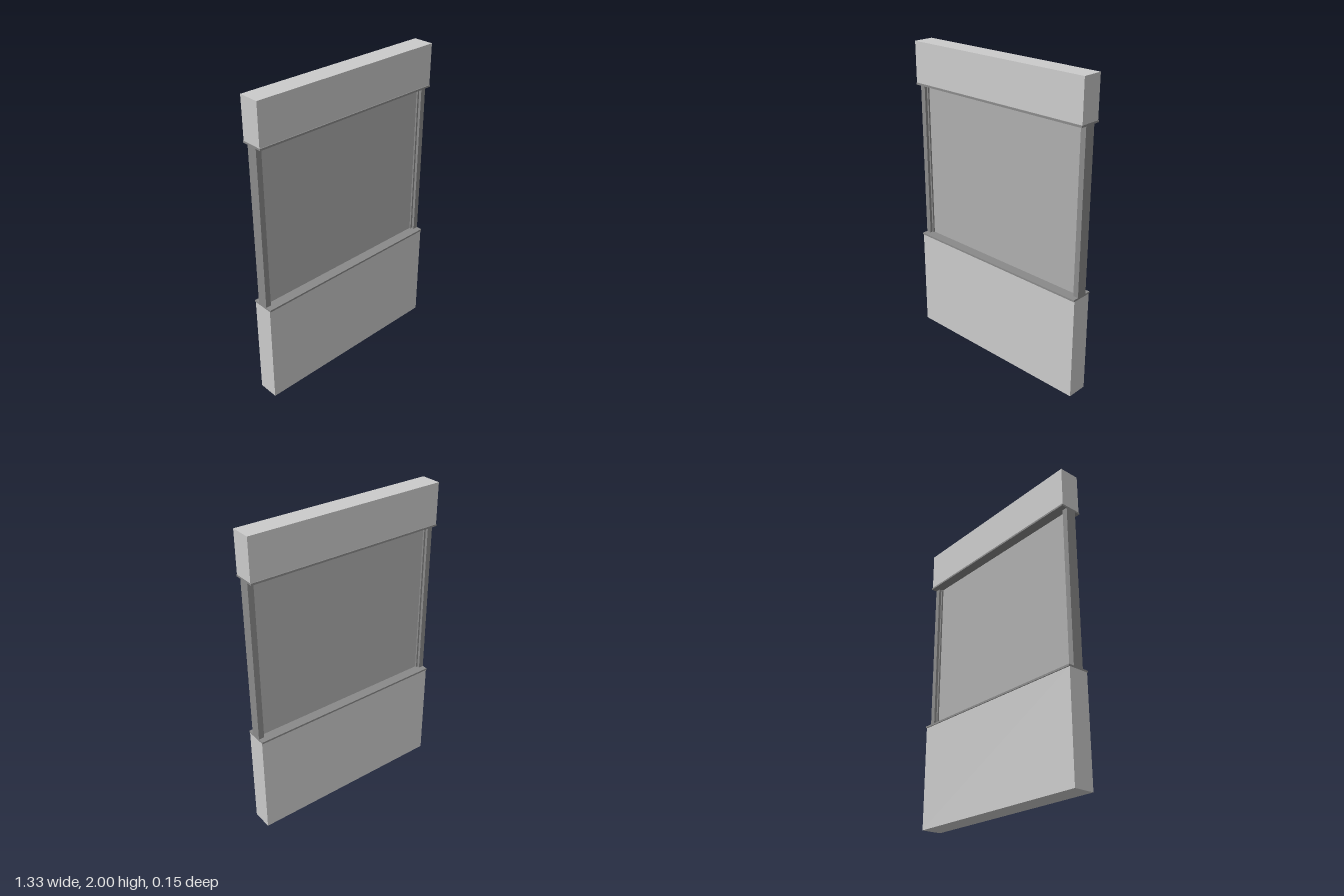
import * as THREE from 'three';

const WIDTH = 1.33;

export function createModel() {
  const model = new THREE.Group();
  model.name = 'windowWall';
  const wall = new THREE.MeshStandardMaterial({ color: 0xcccccc });
  const frame = new THREE.MeshStandardMaterial({ color: 0x8a8a8a });
  const glass = new THREE.MeshStandardMaterial({ color: 0xaeaeae });

  // Box spanning y0..y1, centred on z = 0
  function block(name, width, y0, y1, depth, material, x = 0) {
    const mesh = new THREE.Mesh(new THREE.BoxGeometry(width, y1 - y0, depth), material);
    mesh.name = name;
    mesh.position.set(x, (y0 + y1) / 2, 0);
    model.add(mesh);
  }

  // Solid wall below and above the opening
  block('lowerWall', WIDTH, 0, 0.672, 0.135, wall);
  block('upperWall', WIDTH, 1.737, 2, 0.135, wall);

  // Thin projecting sill and head trim
  block('sill', WIDTH, 0.672, 0.684, 0.147, frame);
  block('headTrim', WIDTH, 1.725, 1.737, 0.147, frame);

  // Side posts, each with a narrower glazing bead
  for (const [side, s] of [['left', 1], ['right', -1]]) {
    block(side + 'Post', 0.035, 0.684, 1.725, 0.07, frame, s * 0.6475);
    block(side + 'Bead', 0.012, 0.684, 1.725, 0.035, frame, s * 0.624);
  }

  // Window pane
  block('pane', 1.236, 0.684, 1.725, 0.014, glass);

  return model;
}
